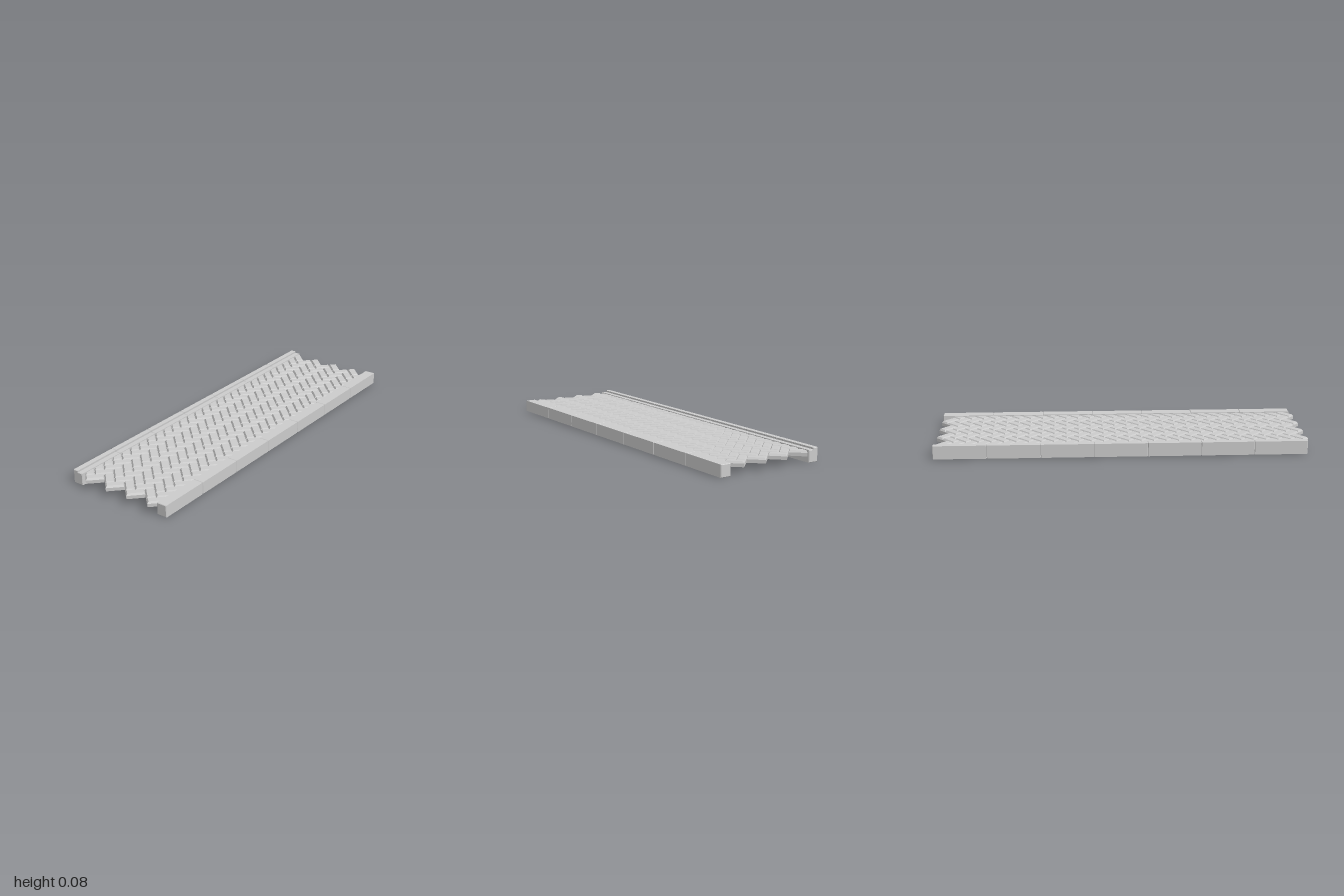
import * as THREE from 'three';
import { mergeGeometries } from 'three/addons/utils/BufferGeometryUtils.js';
import { ConvexGeometry } from 'three/addons/geometries/ConvexGeometry.js';

const ANGLE = 0.7788;            // direction of the path in plan
const HALF_LENGTH = 1.082;
const INNER = 0.263, OUTER = 0.325; // kerb faces, measured across the path
const STONES = 7;

const material = new THREE.MeshStandardMaterial({ color: 0xcccccc, flatShading: true });

// distance of a plan point from the path's centre line
const across = ([x, z]) => x * Math.sin(ANGLE) + z * Math.cos(ANGLE);

// keep the part of a plan polygon where side * across <= limit
function clip(polygon, side, limit) {
  const result = [];
  polygon.forEach((p, i) => {
    const q = polygon[(i + 1) % polygon.length];
    const dp = limit - side * across(p), dq = limit - side * across(q);
    if (dp >= 0) result.push(p);
    if (dp * dq < 0) {
      const t = dp / (dp - dq);
      result.push([p[0] + (q[0] - p[0]) * t, p[1] + (q[1] - p[1]) * t]);
    }
  });
  return result;
}

// one chamfered paver, cut off where it meets the kerbs
function paver(x, z, w, d) {
  const ring = (inset, y) => {
    const x0 = x + inset, x1 = x + w - inset, z0 = z + inset, z1 = z + d - inset;
    const cut = clip(clip([[x0, z0], [x1, z0], [x1, z1], [x0, z1]], 1, INNER + 0.005), -1, INNER + 0.005);
    return cut.map(([px, pz]) => new THREE.Vector3(px, y, pz));
  };
  const base = ring(0, 0.036);
  const area = THREE.ShapeUtils.area(base.map(p => new THREE.Vector2(p.x, p.z)));
  if (base.length < 3 || Math.abs(area) < 1e-4) return null;
  return new ConvexGeometry([...base, ...ring(0, 0.055), ...ring(0.007, 0.066)]);
}

// herringbone: pairs of pavers stepping along and across the path
function paving() {
  const parts = [];
  for (let row = -2; row <= 5; row++) {
    for (let step = 0; step <= 28; step++) {
      const x = -0.938 + step * 0.0527 + row * 0.1016;
      const z = 0.574 - step * 0.0504 + row * 0.1016;
      parts.push(paver(x, z, 0.1012, 0.0501), paver(x + 0.1016, z, 0.0522, 0.1012));
    }
  }
  const mesh = new THREE.Mesh(mergeGeometries(parts.filter(Boolean)), material);
  mesh.name = 'herringbonePaving';
  return mesh;
}

// row of kerb stones; profile points are [across, height]
function kerb(name, profile) {
  const group = new THREE.Group();
  group.name = name;
  group.rotation.y = ANGLE;
  const bevel = 0.003, length = 2 * HALF_LENGTH / STONES;
  const shape = new THREE.Shape(profile.map(([v, y]) => new THREE.Vector2(-v, y)));
  const geometry = new THREE.ExtrudeGeometry(shape, {
    depth: length - 2 * bevel, bevelEnabled: true, bevelSegments: 1,
    bevelThickness: bevel, bevelSize: bevel, bevelOffset: -bevel,
  });
  geometry.translate(0, 0, bevel).rotateY(Math.PI / 2);
  for (let i = 0; i < STONES; i++) {
    const stone = new THREE.Mesh(geometry, material);
    stone.name = 'kerbStone';
    stone.position.x = -HALF_LENGTH + i * length;
    group.add(stone);
  }
  return group;
}

export function createModel() {
  const model = new THREE.Group();
  model.name = 'pavedPath';
  const middle = -(INNER + OUTER) / 2;
  model.add(
    paving(),
    kerb('frontKerb', [[INNER, 0], [OUTER, 0], [OUTER, 0.07], [INNER, 0.07]]),
    // the back kerb has a raised outer lip
    kerb('backKerb', [[-INNER, 0], [-INNER, 0.07], [middle, 0.07], [middle, 0.08], [-OUTER, 0.08], [-OUTER, 0]]),
  );
  return model;
}
